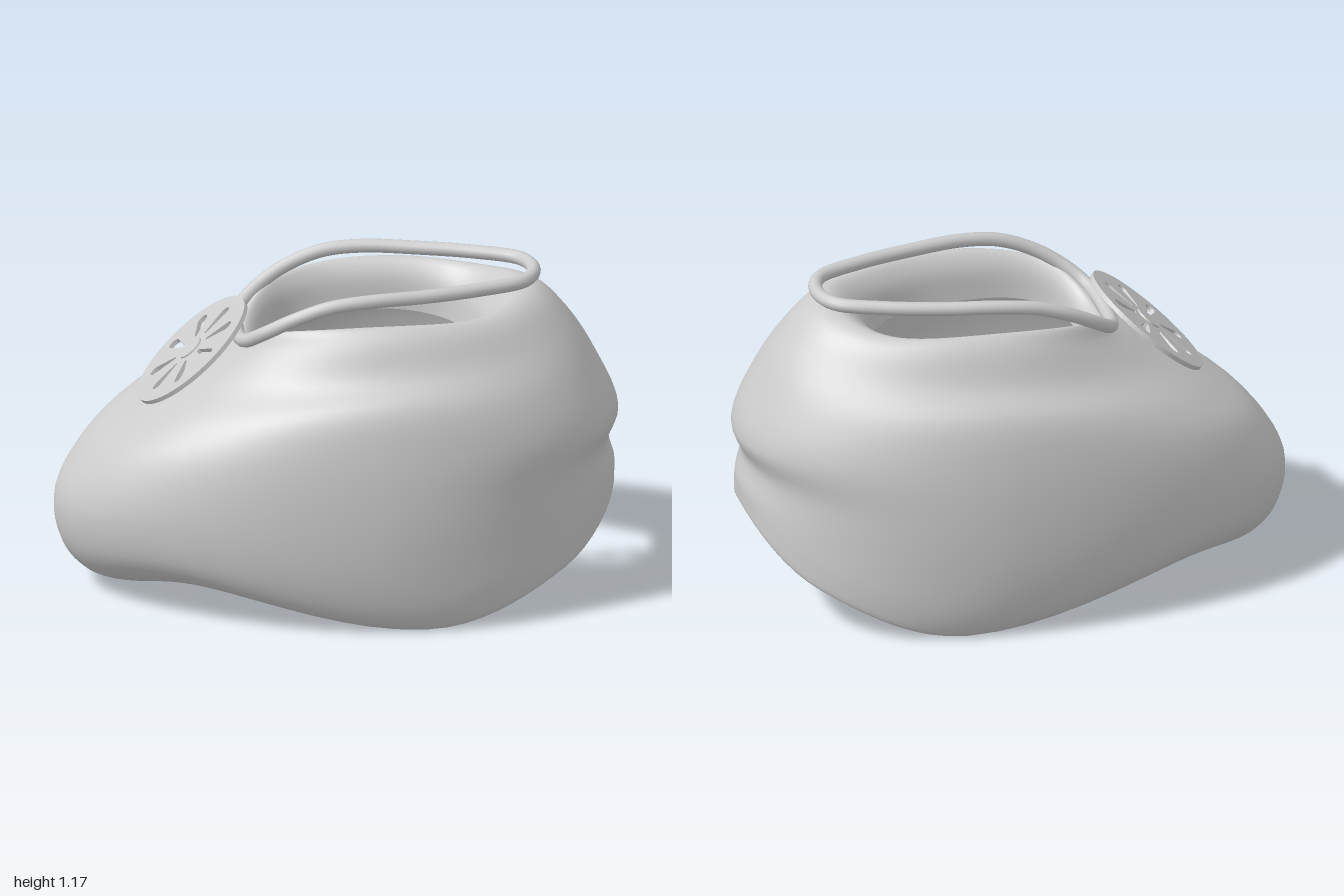
import * as THREE from 'three';

const grey = () => new THREE.MeshStandardMaterial({ color: 0xcccccc, side: THREE.DoubleSide });

// Rings from the inner collar, over the rim, down the outside and under the hem.
// x at front, x at back, half width, x of widest point, roundness power,
// then heights at back, back quarter, side, front quarter, front
const RINGS = [
  [-0.27, 0.48, 0.285, 0.10, 0.70, 0.86, 0.88, 0.90, 0.88, 0.84],
  [-0.29, 0.52, 0.300, 0.10, 0.75, 1.00, 1.00, 1.02, 0.98, 0.90],
  [-0.33, 0.63, 0.345, 0.12, 0.85, 1.10, 1.07, 1.075, 1.03, 0.93],
  [-0.39, 0.72, 0.395, 0.12, 0.95, 1.09, 1.05, 1.035, 0.97, 0.90],
  [-0.55, 0.83, 0.465, 0.12, 1.00, 0.98, 0.95, 0.915, 0.85, 0.79],
  [-0.75, 0.92, 0.560, 0.12, 1.00, 0.83, 0.82, 0.83, 0.73, 0.65],
  [-0.90, 1.00, 0.612, 0.12, 1.00, 0.63, 0.65, 0.66, 0.60, 0.52],
  [-1.00, 0.965, 0.637, 0.12, 1.00, 0.53, 0.50, 0.41, 0.40, 0.34],
  [-0.98, 0.985, 0.630, 0.14, 1.00, 0.44, 0.34, 0.20, 0.24, 0.17],
  [-0.90, 0.985, 0.600, 0.22, 0.97, 0.39, 0.23, 0.06, 0.16, 0.07],
  [-0.78, 0.98, 0.560, 0.30, 0.95, 0.35, 0.17, 0.005, 0.125, 0.03],
  [-0.62, 0.96, 0.545, 0.30, 0.95, 0.355, 0.18, 0.02, 0.14, 0.05],
  [-0.48, 0.94, 0.535, 0.30, 0.95, 0.37, 0.20, 0.04, 0.17, 0.14],
];

// Smooth value through five evenly spaced heights, flat at both ends
function heightAt(h, u) {
  const at = i => h[i < 0 ? -i : i > 4 ? 8 - i : i];
  const f = u * 4, i = Math.min(3, Math.floor(f)), s = f - i;
  const [a, b, c, d] = [at(i - 1), at(i), at(i + 1), at(i + 2)];
  return b + 0.5 * s * (c - a + s * (2 * a - 5 * b + 4 * c - d + s * (3 * (b - c) + d - a)));
}

function ringPoint([xF, xB, w, xM, e, ...h], t) {
  const c = Math.cos(t), s = Math.sin(t);
  const cx = Math.sign(c) * Math.abs(c) ** e, sz = Math.sign(s) * Math.abs(s) ** e;
  const u = (t <= Math.PI ? t : 2 * Math.PI - t) / Math.PI;
  return new THREE.Vector3(xM + cx * (c > 0 ? xB - xM : xM - xF), heightAt(h, u), w * sz);
}

function shellGeometry(cols = 72, rows = 60) {
  const pos = [], index = [];
  for (let i = 0; i < cols; i++) {
    const t = (i / cols) * 2 * Math.PI;
    const curve = new THREE.CatmullRomCurve3(RINGS.map(r => ringPoint(r, t)));
    for (let j = 0; j <= rows; j++) pos.push(...curve.getPoint(j / rows).toArray());
  }
  for (let i = 0; i < cols; i++) {
    for (let j = 0; j < rows; j++) {
      const a = i * (rows + 1) + j, b = ((i + 1) % cols) * (rows + 1) + j;
      index.push(a, b, a + 1, b, b + 1, a + 1);
    }
  }
  const g = new THREE.BufferGeometry();
  g.setAttribute('position', new THREE.Float32BufferAttribute(pos, 3));
  g.setIndex(index);
  g.computeVertexNormals();
  return g;
}

// Closed loop of cord, mirrored across z
function cordGeometry() {
  const half = [
    [0.66, 1.148, 0.11], [0.5, 1.147, 0.185], [0.3, 1.145, 0.24], [0.1, 1.143, 0.275],
    [-0.04, 1.125, 0.282], [-0.17, 1.075, 0.27], [-0.27, 1.015, 0.235], [-0.335, 0.965, 0.17],
  ];
  const flip = half.map(([x, y, z]) => [x, y, -z]).reverse();
  const pts = [[0.7, 1.148, 0], ...half, [-0.355, 0.95, 0], ...flip];
  const path = new THREE.CatmullRomCurve3(pts.map(p => new THREE.Vector3(...p)), true);
  return new THREE.TubeGeometry(path, 120, 0.025, 12, true);
}

// Disc pierced by eight teardrop slots
function discGeometry() {
  const disc = new THREE.Shape().absarc(0, 0, 0.255, 0, 2 * Math.PI);
  for (let k = 0; k < 8; k++) {
    const a = (k + 0.5) * Math.PI / 4, tip = 0.075, mid = 0.178, r = 0.022;
    const pts = [[tip, -0.006]];
    for (let i = 0; i <= 10; i++) {
      const b = -Math.PI / 2 + (i / 10) * Math.PI;
      pts.push([mid + r * Math.cos(b), r * Math.sin(b)]);
    }
    pts.push([tip, 0.006]);
    disc.holes.push(new THREE.Path(pts.map(([x, y]) =>
      new THREE.Vector2(x, y).rotateAround(new THREE.Vector2(), a))));
  }
  return new THREE.ExtrudeGeometry(disc, { depth: 0.016, bevelEnabled: false, curveSegments: 40 });
}

export function createModel() {
  const model = new THREE.Group();
  const add = (name, geometry, parent = model) => {
    const mesh = new THREE.Mesh(geometry, grey());
    mesh.name = name;
    parent.add(mesh);
    return mesh;
  };

  add('shell', shellGeometry());
  add('cordLoop', cordGeometry());

  // Slotted disc lying on the front slope
  const badge = new THREE.Group();
  badge.name = 'slottedDisc';
  const slope = Math.atan2(0.335, 0.375);
  const along = new THREE.Vector3(Math.cos(slope), Math.sin(slope), 0);
  const out = new THREE.Vector3(-Math.sin(slope), Math.cos(slope), 0);
  badge.quaternion.setFromRotationMatrix(
    new THREE.Matrix4().makeBasis(along, new THREE.Vector3(0, 0, -1), out));
  badge.position.set(-0.508, 0.868, 0.018);
  model.add(badge);
  add('discPlate', discGeometry(), badge);
  const hub = add('discHub', new THREE.CylinderGeometry(0.048, 0.052, 0.022, 24), badge);
  hub.rotation.x = Math.PI / 2;
  hub.position.z = 0.011;

  return model;
}
